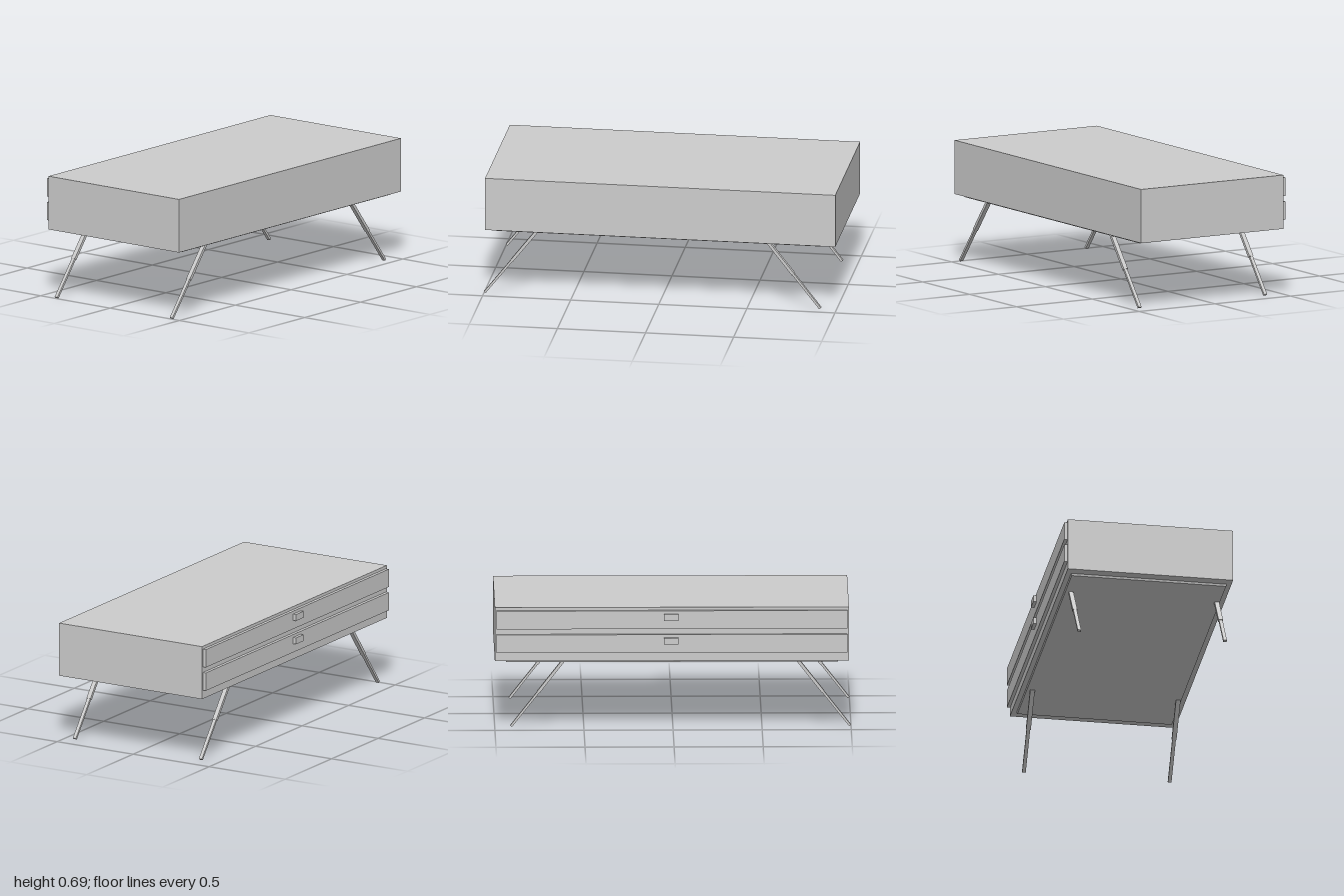
import * as THREE from 'three';

const grey = new THREE.MeshStandardMaterial({ color: 0xcccccc, flatShading: true });

// Box given by its lower and upper limits on each axis
function block(name, [x0, x1], [y0, y1], [z0, z1]) {
  const mesh = new THREE.Mesh(new THREE.BoxGeometry(x1 - x0, y1 - y0, z1 - z0), grey);
  mesh.position.set((x0 + x1) / 2, (y0 + y1) / 2, (z0 + z1) / 2);
  mesh.name = name;
  return mesh;
}

// Flat bar running between two points
function bar(name, from, to, width, thickness) {
  const mesh = new THREE.Mesh(new THREE.BoxGeometry(width, from.distanceTo(to), thickness), grey);
  mesh.position.copy(from).lerp(to, 0.5);
  mesh.quaternion.setFromUnitVectors(new THREE.Vector3(0, 1, 0), from.clone().sub(to).normalize());
  mesh.name = name;
  return mesh;
}

// Splayed leg: a wider upper sleeve and a slimmer lower bar
function leg(name, x, topZ, footZ) {
  const group = new THREE.Group();
  group.name = name;
  const top = new THREE.Vector3(x, 0.38, topZ);
  const foot = new THREE.Vector3(x, 0.004, footZ);
  const joint = top.clone().lerp(foot, 0.482);
  const overlap = top.clone().lerp(foot, 0.42);
  group.add(bar('upperLeg', top, joint, 0.026, 0.017), bar('lowerLeg', overlap, foot, 0.02, 0.013));
  return group;
}

export function createModel() {
  const table = new THREE.Group();
  table.name = 'coffeeTable';

  // Cabinet body
  table.add(block('cabinet', [-0.453, 0.487], [0.387, 0.693], [-1, 0.988]));

  // Base plate under the cabinet, narrowing slightly downwards
  const plate = block('basePlate', [-0.425, 0.461], [0.375, 0.388], [-0.94, 0.93]);
  const p = plate.geometry.attributes.position;
  for (let i = 0; i < p.count; i++) {
    if (p.getY(i) < 0) {
      p.setX(i, p.getX(i) - Math.sign(p.getX(i)) * 0.004);
      p.setZ(i, p.getZ(i) - Math.sign(p.getZ(i)) * 0.004);
    }
  }
  plate.geometry.computeVertexNormals();
  table.add(plate);

  // Two long drawers with small handles on one side
  for (const y of [0.436, 0.572]) {
    table.add(block('drawerFront', [-0.472, -0.453], [y, y + 0.104], [-0.99, 0.978]));
    table.add(block('drawerHandle', [-0.491, -0.472], [y + 0.05, y + 0.087], [-0.05, 0.03]));
  }

  // Four legs, splayed towards the ends
  for (const x of [-0.389, 0.44]) {
    table.add(leg('frontLeg', x, 0.7, 0.995));
    table.add(leg('backLeg', x, -0.613, -0.908));
  }
  return table;
}
